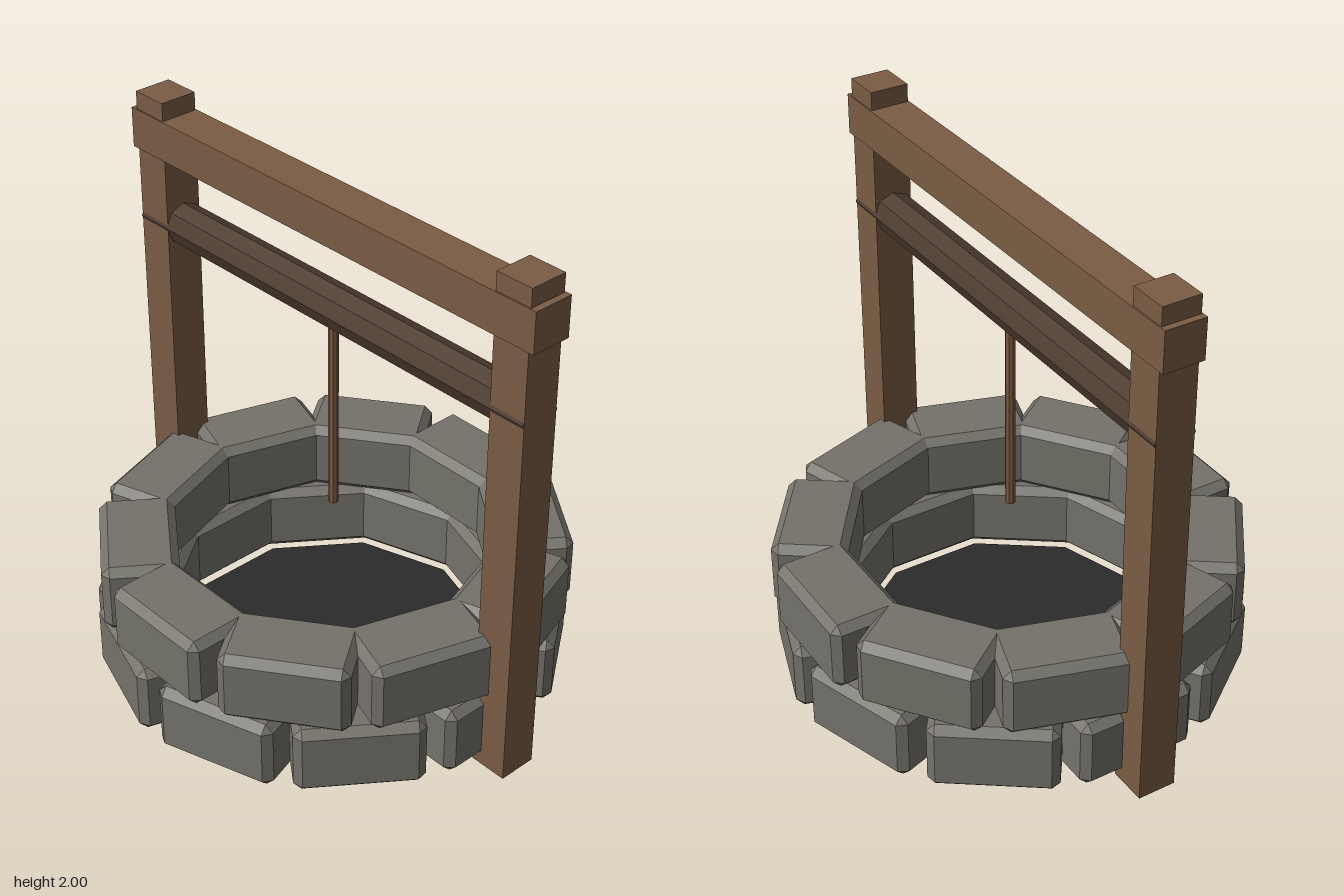
import * as THREE from 'three';
import { ConvexGeometry } from 'three/addons/geometries/ConvexGeometry.js';

const mat = (name, color) => {
  const m = new THREE.MeshStandardMaterial({ color });
  m.name = name;
  return m;
};

// Box with every edge and corner chamfered by c
function chamferBox(w, h, d, c) {
  const pts = [];
  for (const x of [-w / 2, w / 2])
    for (const y of [-h / 2, h / 2])
      for (const z of [-d / 2, d / 2]) {
        const cx = Math.sign(x) * c, cy = Math.sign(y) * c, cz = Math.sign(z) * c;
        pts.push(
          new THREE.Vector3(x, y - cy, z - cz),
          new THREE.Vector3(x - cx, y, z - cz),
          new THREE.Vector3(x - cx, y - cy, z)
        );
      }
  return new ConvexGeometry(pts);
}

export function createModel() {
  const well = new THREE.Group();
  well.name = 'well';

  const stone = mat('stone', 0x74726a);
  const wood = mat('wood', 0x7a5c44);
  const darkWood = mat('darkWood', 0x4e3c30);
  const rope = mat('rope', 0x7a5a42);
  const water = mat('darkWater', 0x2b2b2b);
  for (const m of [darkWood, rope, water]) m.flatShading = true;

  const add = (parent, name, geometry, material, x = 0, y = 0, z = 0) => {
    const mesh = new THREE.Mesh(geometry, material);
    mesh.name = name;
    mesh.position.set(x, y, z);
    parent.add(mesh);
    return mesh;
  };

  // Two staggered courses of ten stones
  const count = 10;
  const block = chamferBox(0.47, 0.275, 0.285, 0.03);
  [['lowerStoneRing', 0.1675, 0.5], ['upperStoneRing', 0.4425, 0]].forEach(([name, y, shift]) => {
    const ring = new THREE.Group();
    ring.name = name;
    for (let i = 0; i < count; i++) {
      const a = ((i + shift) / count) * Math.PI * 2;
      add(ring, 'stone', block, stone, Math.sin(a) * 0.7225, y, Math.cos(a) * 0.7225).rotation.y = a;
    }
    well.add(ring);
  });

  // Dark disc at the bottom of the shaft
  add(well, 'shaftFloor', new THREE.CylinderGeometry(0.6, 0.6, 0.02, count), water, 0, 0.025);

  // Posts and the beam across them
  for (const [name, side] of [['leftPost', 1], ['rightPost', -1]])
    add(well, name, new THREE.BoxGeometry(0.15, 2, 0.15), wood, side * 0.9, 1);
  add(well, 'topBeam', new THREE.BoxGeometry(2, 0.155, 0.16), wood, 0, 1.8525);

  // Eight-sided roller, its edges just breaking through the posts
  add(well, 'roller', new THREE.CylinderGeometry(0.08, 0.08, 1.948, 8), darkWood, 0, 1.5).rotation.z = Math.PI / 2;

  // Hanging rope
  add(well, 'rope', new THREE.CylinderGeometry(0.019, 0.019, 0.785, 8), rope, 0, 1.0575);

  return well;
}
